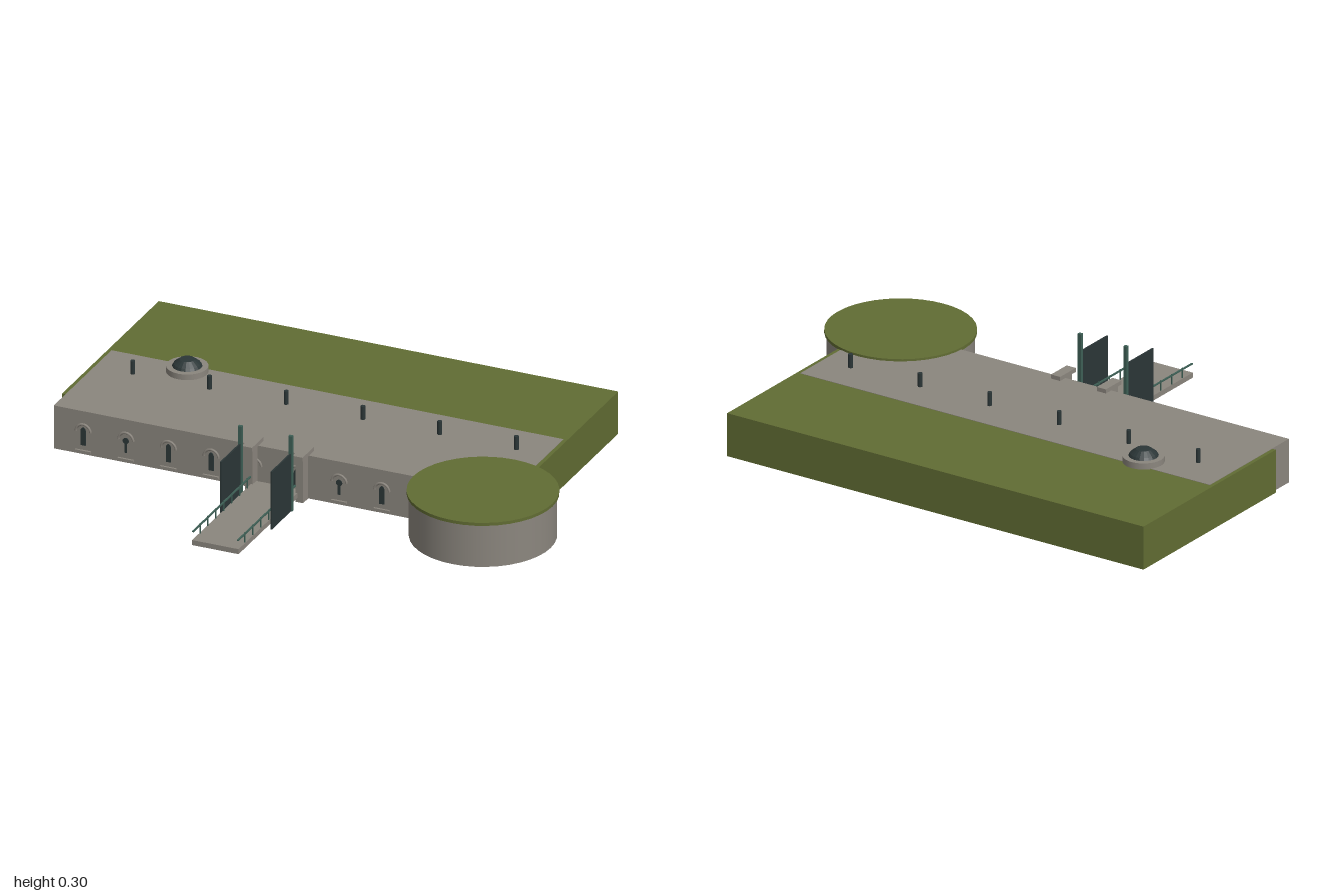
import * as THREE from 'three';

export function createModel() {
  const model = new THREE.Group();
  const material = (name, color) => {
    const m = new THREE.MeshStandardMaterial({ color });
    m.name = name;
    return m;
  };
  const stone = material('stone', 0x8b867e);
  const grass = material('grass', 0x616c33);
  const iron = material('darkIron', 0x2b3637);
  const steel = material('greenSteel', 0x3e6056);

  const add = (name, geometry, mat, x, y, z, parent = model) => {
    const mesh = new THREE.Mesh(geometry, mat);
    mesh.name = name;
    mesh.position.set(x, y, z);
    parent.add(mesh);
    return mesh;
  };
  // Box given by its minimum and maximum on each axis
  const box = (name, mat, x0, x1, y0, y1, z0, z1, parent) =>
    add(name, new THREE.BoxGeometry(x1 - x0, y1 - y0, z1 - z0), mat,
      (x0 + x1) / 2, (y0 + y1) / 2, (z0 + z1) / 2, parent);
  const cylinder = (name, mat, rTop, rBottom, y0, y1, x, z, sides, parent) =>
    add(name, new THREE.CylinderGeometry(rTop, rBottom, y1 - y0, sides), mat, x, (y0 + y1) / 2, z, parent);

  // Earth bank and stone casemate
  box('earthBank', grass, -1, 0.82, 0.001, 0.17, -0.755, 0.09);
  box('casemate', stone, -0.985, 0.805, 0, 0.1715, -0.31, 0.195);

  // Round bastion with a turfed roof
  cylinder('bastionWall', stone, 0.268, 0.268, 0, 0.168, 0.722, 0.21, 40);
  cylinder('bastionRoof', grass, 0.276, 0.276, 0.168, 0.18, 0.722, 0.21, 40);

  // Window shapes: a pointed slit and a keyhole
  const slit = new THREE.Shape();
  slit.moveTo(-0.01, 0.036);
  slit.lineTo(0.01, 0.036);
  slit.lineTo(0.01, 0.094);
  slit.quadraticCurveTo(0.009, 0.104, 0, 0.108);
  slit.quadraticCurveTo(-0.009, 0.104, -0.01, 0.094);
  const keyhole = new THREE.Shape();
  keyhole.moveTo(-0.005, 0.04);
  keyhole.lineTo(0.005, 0.04);
  keyhole.lineTo(0.005, 0.077);
  keyhole.absarc(0, 0.087, 0.012, -1.14, Math.PI + 1.14, false);
  keyhole.lineTo(-0.005, 0.077);
  const plate = { depth: 0.004, bevelEnabled: false, curveSegments: 8 };
  const slitGeometry = new THREE.ExtrudeGeometry(slit, plate);
  const keyholeGeometry = new THREE.ExtrudeGeometry(keyhole, plate);
  const archGeometry = new THREE.TorusGeometry(0.029, 0.005, 6, 16, Math.PI);

  // Row of windows with arches and sills
  for (let i = 0; i < 8; i++) {
    const bay = new THREE.Group();
    bay.name = 'windowBay';
    bay.position.set(-0.868 + i * 0.169, 0, 0.194);
    model.add(bay);
    add('window', i % 5 === 1 ? keyholeGeometry : slitGeometry, iron, 0, 0, 0, bay);
    add('arch', archGeometry, stone, 0, 0.09, 0.002, bay);
    box('sill', stone, -0.031, 0.031, 0.009, 0.017, 0, 0.009, bay);
  }

  // Vent posts along the roof
  for (let i = 0; i < 6; i++) {
    cylinder('ventPost', iron, 0.009, 0.009, 0.171, 0.224, -0.835 + i * 0.304, -0.164, 10);
  }

  // Observation cupola
  cylinder('cupolaRing', stone, 0.077, 0.077, 0.17, 0.194, -0.665, -0.265, 28);
  const profile = [[0.055, 0], [0.05, 0.009], [0.028, 0.026], [0, 0.027]]
    .map(([r, y]) => new THREE.Vector2(r, y));
  const dome = new THREE.LatheGeometry(profile, 20).toNonIndexed();
  dome.computeVertexNormals();
  add('cupolaDome', dome, iron, -0.665, 0.194, -0.265);

  // Drawbridge deck
  box('bridgeDeck', stone, -0.184, 0, 0.016, 0.036, 0.208, 0.752);

  // Gate pillars, lifting panels, masts and railings on each side of the bridge
  for (const side of [-1, 1]) {
    const group = new THREE.Group();
    group.name = side < 0 ? 'gateRight' : 'gateLeft';
    group.position.x = -0.092;
    model.add(group);
    const px = side * 0.1;
    box('pillar', stone, px - 0.015, px + 0.015, 0, 0.174, 0.17, 0.24, group);
    box('pillarCap', stone, px - 0.02, px + 0.02, 0.174, 0.19, 0.156, 0.256, group);
    box('mast', steel, px - 0.007, px + 0.007, 0, 0.3, 0.307, 0.32, group);
    box('liftingPanel', iron, px - 0.003, px + 0.003, 0, 0.23, 0.32, 0.486, group);
    const rx = side * 0.089;
    box('handrail', steel, rx - 0.003, rx + 0.003, 0.068, 0.073, 0.25, 0.752, group);
    for (let i = 0; i < 7; i++) {
      const z = 0.69 - i * 0.069;
      box('railPost', steel, rx - 0.002, rx + 0.002, 0.034, 0.076, z - 0.002, z + 0.002, group);
    }
  }
  return model;
}
